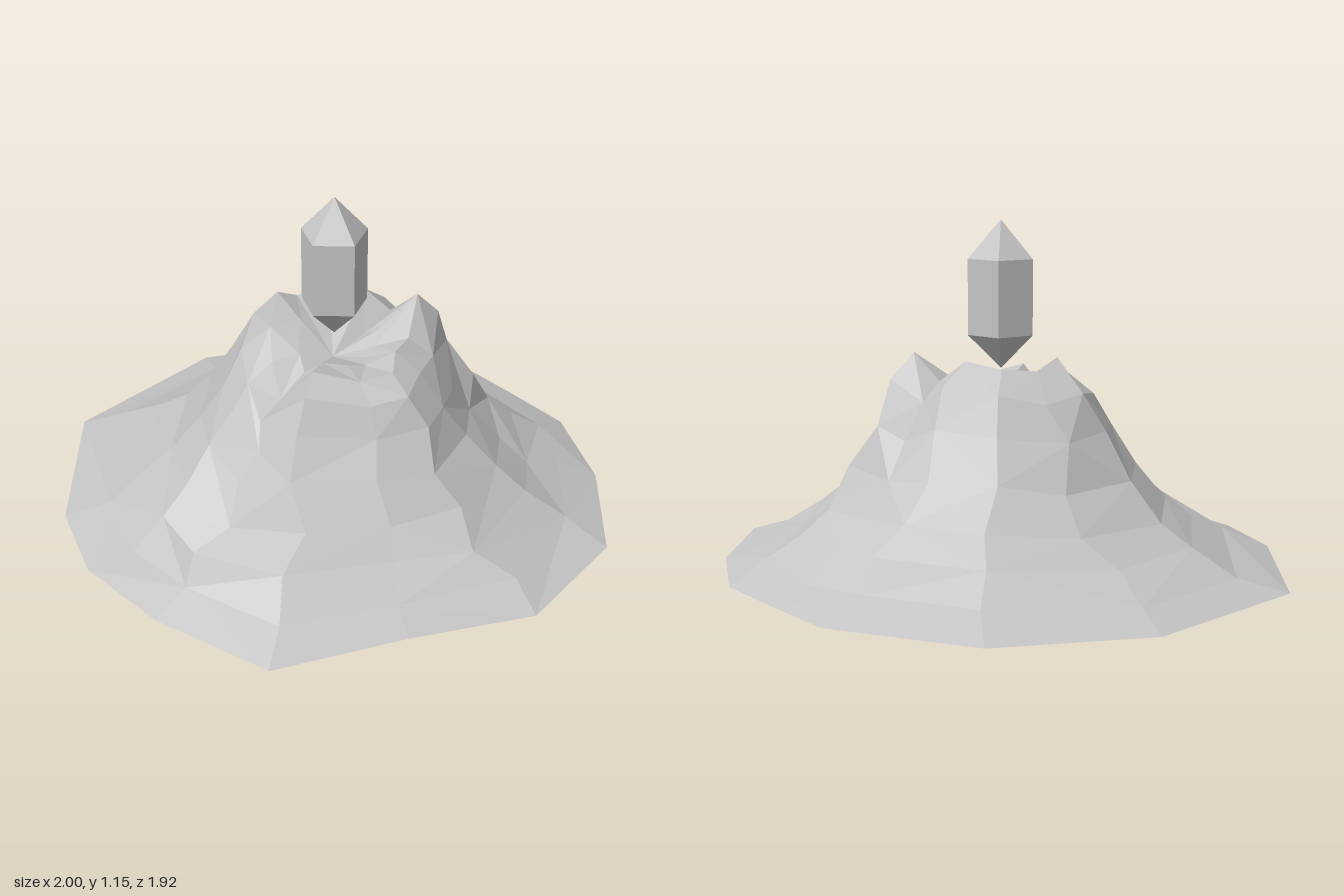
import * as THREE from 'three';

// Small seeded random in -1..1
function makeRandom(seed) {
  return () => {
    seed = (seed * 16807) % 2147483647;
    return (seed / 2147483647) * 2 - 1;
  };
}

// Foot of the mountain, clockwise seen from above: x, z
const foot = [
  [1, -0.03], [0.88, 0.4], [0.55, 0.68], [0.2, 0.96], [-0.23, 0.88], [-0.55, 0.74], [-0.77, 0.51],
  [-1, -0.03], [-0.78, -0.62], [-0.36, -0.93], [0.16, -0.96], [0.4, -0.84], [0.65, -0.71], [0.86, -0.42],
];
// Jagged crater rim above each foot point: x, y, z
const rim = [
  [0.24, 0.61, 0], [0.27, 0.59, 0.1], [0.19, 0.59, 0.19], [0.05, 0.63, 0.25], [-0.07, 0.49, 0.24],
  [-0.13, 0.58, 0.17], [-0.18, 0.65, 0.07], [-0.21, 0.71, -0.06], [-0.17, 0.67, -0.13],
  [-0.08, 0.68, -0.21], [0.05, 0.7, -0.21], [0.14, 0.63, -0.22], [0.24, 0.72, -0.21], [0.25, 0.61, -0.1],
];
// Slope from rim to foot: share of the way out, height
const slope = [[0.13, 0.56], [0.22, 0.45], [0.34, 0.33], [0.48, 0.215], [0.62, 0.135], [0.8, 0.055], [1, 0]];
// Spokes that sink into gullies or rise into ridges
const relief = [0, 0, 0.01, 0.025, -0.03, 0.01, -0.01, -0.025, -0.02, 0, 0, -0.01, 0, -0.04];

function mountainGeometry() {
  const random = makeRandom(41);
  const n = foot.length;
  const rings = [];

  // Shallow crater floor and wall
  rings.push(rim.map(() => [0.03, 0.56, 0.03]));
  rings.push(rim.map(([x, y, z]) => [
    0.03 + (x - 0.03) * 0.55,
    0.585 + (y - 0.6) * 0.4 + random() * 0.015,
    0.03 + (z - 0.03) * 0.55,
  ]));
  rings.push(rim);

  // Outer slopes, roughened between rim and foot
  for (const [t, h] of slope) {
    const rough = t === 1 ? 0 : 1;
    rings.push(rim.map(([x, y, z], i) => {
      const out = t + rough * random() * 0.015;
      const px = x + (foot[i][0] - x) * out;
      const pz = z + (foot[i][1] - z) * out;
      const turn = rough * random() * 0.07;
      const lift = rough * (relief[i] * Math.sin(Math.PI * Math.min(1, t * 1.2)) + random() * 0.012);
      const base = rough ? h * (1 + (y / 0.62 - 1) * (1 - t) ** 2) : i === 2 ? 0.02 : 0;
      return [
        px * Math.cos(turn) - pz * Math.sin(turn),
        Math.max(0, base + lift),
        px * Math.sin(turn) + pz * Math.cos(turn),
      ];
    }));
  }

  // Join neighbouring rings with triangles, alternating the diagonals
  const positions = rings.flat(2);
  const index = [];
  for (let k = 0; k < rings.length - 1; k++) {
    for (let i = 0; i < n; i++) {
      const a = k * n + i;
      const b = k * n + ((i + 1) % n);
      const c = a + n;
      const d = b + n;
      if (k === 0) index.push(a, d, c);
      else if ((i + k) % 2) index.push(a, b, c, b, d, c);
      else index.push(a, b, d, a, d, c);
    }
  }
  const geometry = new THREE.BufferGeometry();
  geometry.setAttribute('position', new THREE.Float32BufferAttribute(positions, 3));
  geometry.setIndex(index);
  geometry.computeVertexNormals();
  return geometry;
}

export function createModel() {
  const model = new THREE.Group();
  model.name = 'crystalMountain';

  const stone = new THREE.MeshStandardMaterial({ color: 0xc4c4c4, flatShading: true, side: THREE.DoubleSide });
  stone.name = 'paleGreyStone';

  // Hollow mountain with a crater
  const mountain = new THREE.Mesh(mountainGeometry(), stone);
  mountain.name = 'mountain';
  model.add(mountain);

  // Five-sided crystal floating over the crater
  const profile = [[0, 0.648], [0.114, 0.763], [0.114, 1.018], [0, 1.147]].map(([r, y]) => new THREE.Vector2(r, y));
  const crystal = new THREE.Mesh(new THREE.LatheGeometry(profile, 5, -0.26), stone);
  crystal.name = 'crystal';
  crystal.position.set(0.03, 0, 0.02);
  model.add(crystal);

  return model;
}
